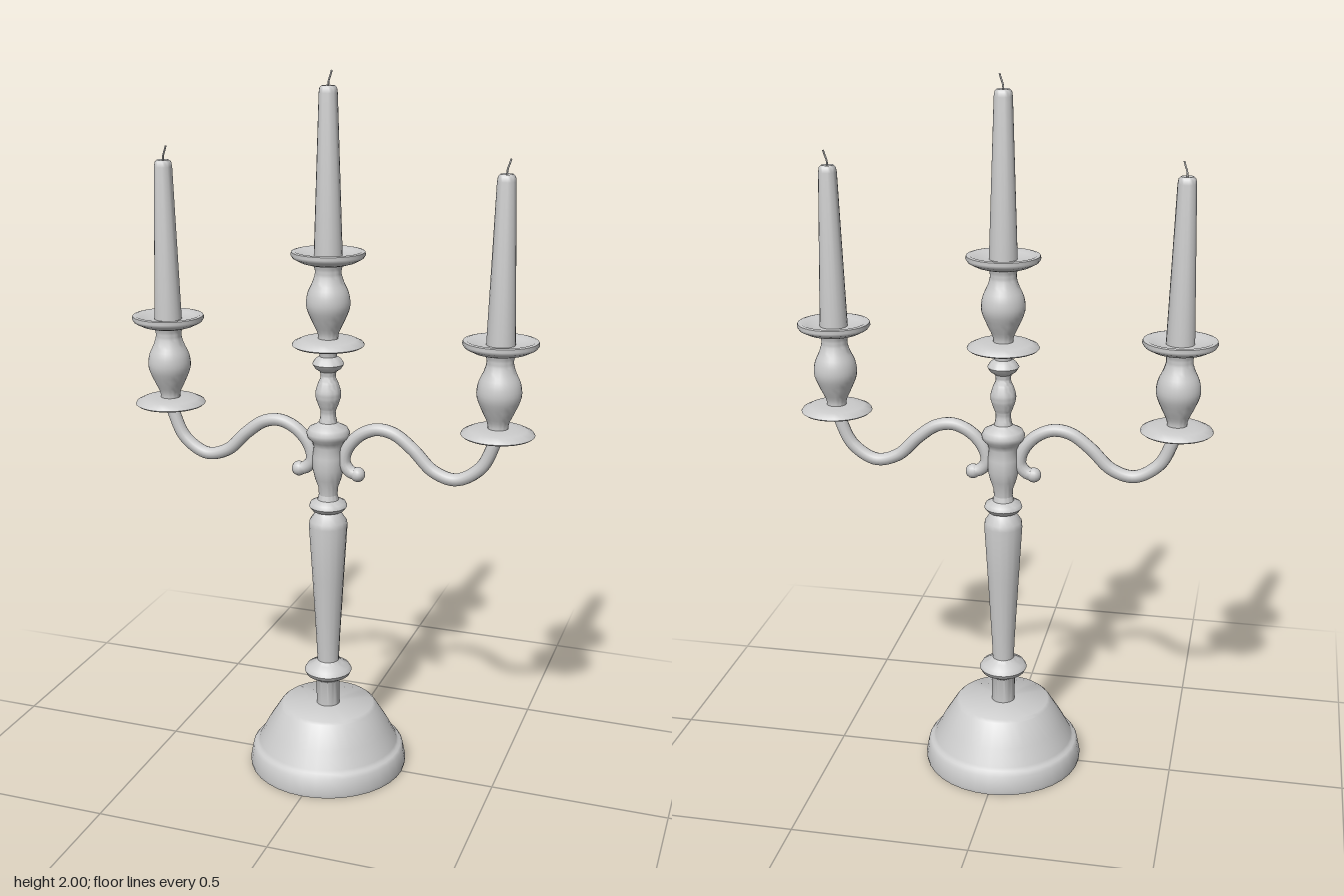
import * as THREE from 'three';
import { toCreasedNormals } from 'three/addons/utils/BufferGeometryUtils.js';

const material = new THREE.MeshStandardMaterial({ color: 0xcccccc });

function addMesh(parent, name, geometry) {
  const mesh = new THREE.Mesh(geometry, material);
  mesh.name = name;
  parent.add(mesh);
  return mesh;
}

// Turned part from [radius, height] pairs, bottom to top
function addTurned(parent, name, profile, segments = 28) {
  const points = profile.map(([r, y]) => new THREE.Vector2(r, y));
  return addMesh(parent, name, toCreasedNormals(new THREE.LatheGeometry(points, segments), 0.9));
}

// Smooths the flowing section of a profile
function smooth(profile, count) {
  const curve = new THREE.CatmullRomCurve3(profile.map(([r, y]) => new THREE.Vector3(r, y, 0)));
  return curve.getPoints(count).map((p) => [p.x, p.y]);
}

function addTube(parent, name, points, radius, steps, sides) {
  const curve = new THREE.CatmullRomCurve3(points.map(([x, y]) => new THREE.Vector3(x, y, 0)));
  return addMesh(parent, name, new THREE.TubeGeometry(curve, steps, radius, sides));
}

// Candle with its holder; y = 0 is the underside of the lower dish
function createCandleHolder(name) {
  const group = new THREE.Group();
  group.name = name;
  addTurned(group, 'lowerDish', [
    [0, 0], [0.095, 0], [0.1, 0.004], [0.097, 0.009], [0.078, 0.018], [0.05, 0.021], [0, 0.022],
  ]);
  addTurned(group, 'cup', smooth([
    [0.027, 0.015], [0.029, 0.035], [0.045, 0.07], [0.06, 0.11], [0.057, 0.145],
    [0.042, 0.18], [0.036, 0.205], [0.042, 0.23],
  ], 24));
  addTurned(group, 'dripPan', [
    [0, 0.226], [0.055, 0.226], [0.075, 0.232], [0.096, 0.243], [0.102, 0.252],
    [0.1, 0.26], [0.092, 0.262], [0.075, 0.255], [0.05, 0.25], [0, 0.25],
  ]);
  addTurned(group, 'candle', [
    [0, 0.245], [0.039, 0.245], [0.025, 0.675], [0.023, 0.688], [0.017, 0.694], [0, 0.691],
  ], 20);
  addTube(group, 'wick', [[0, 0.685], [0.001, 0.705], [0.006, 0.72], [0.01, 0.733]], 0.0025, 8, 6);
  return group;
}

export function createModel() {
  const model = new THREE.Group();
  model.name = 'candelabra';

  // Foot
  addTurned(model, 'base', [
    [0, 0], [0.228, 0], [0.23, 0.012], [0.222, 0.055], [0.215, 0.064], [0.208, 0.066],
    [0.203, 0.075], [0.178, 0.122], [0.14, 0.183], [0.132, 0.19], [0, 0.19],
  ], 36);

  // Lower stem with its ring and the flared shaft
  addTurned(model, 'stemFoot', [
    [0.034, 0.18], [0.034, 0.265], [0.045, 0.274], [0.063, 0.284], [0.069, 0.296],
    [0.062, 0.308], [0.042, 0.318], [0.031, 0.328],
  ]);
  addTurned(model, 'shaft', [
    [0.031, 0.32], [0.034, 0.39], [0.045, 0.58], [0.055, 0.745], [0.053, 0.76], [0.038, 0.782], [0.027, 0.795],
  ], 16);
  addTurned(model, 'collar', [
    [0.025, 0.785], [0.045, 0.791], [0.054, 0.803], [0.05, 0.814], [0.03, 0.823], [0.026, 0.84],
  ]);

  // Hub that carries the arms
  addTurned(model, 'hub', [
    [0.026, 0.83], [0.028, 0.86], [0.037, 0.885], [0.044, 0.915], [0.044, 0.95], [0.04, 0.98],
    [0.046, 0.995], [0.058, 1.007], [0.061, 1.02], [0.054, 1.033], [0.036, 1.042], [0.026, 1.05],
  ]);

  // Upper stem with its bead and ring
  addTurned(model, 'upperStem', smooth([
    [0.026, 1.045], [0.021, 1.08], [0.028, 1.1], [0.036, 1.13], [0.029, 1.16], [0.021, 1.18], [0.024, 1.2],
  ], 24));
  addTurned(model, 'upperRing', [
    [0.022, 1.195], [0.036, 1.204], [0.044, 1.217], [0.036, 1.23], [0.024, 1.238], [0.026, 1.255], [0.032, 1.27],
  ]);

  const centre = createCandleHolder('centreCandleHolder');
  centre.position.y = 1.267;
  model.add(centre);

  // Mirrored arms, each ending in a scroll at the hub
  const armPath = [
    [0.48, 1.065], [0.47, 1.03], [0.437, 0.962], [0.37, 0.921], [0.305, 0.938], [0.245, 0.995],
    [0.19, 1.034], [0.14, 1.041], [0.09, 1.018], [0.055, 0.975], [0.048, 0.935], [0.066, 0.911], [0.088, 0.905],
  ];
  for (const side of [1, -1]) {
    const label = side > 0 ? 'left' : 'right';
    const path = armPath.map(([x, y]) => [side * x, y]);
    addTube(model, label + 'Arm', path, 0.018, 64, 12);

    const tip = addMesh(model, label + 'ScrollTip', new THREE.SphereGeometry(0.021, 14, 10));
    tip.position.set(side * 0.087, 0.905, 0);

    const holder = createCandleHolder(label + 'CandleHolder');
    holder.position.set(side * 0.48, 1.058, 0);
    model.add(holder);
  }
  return model;
}
